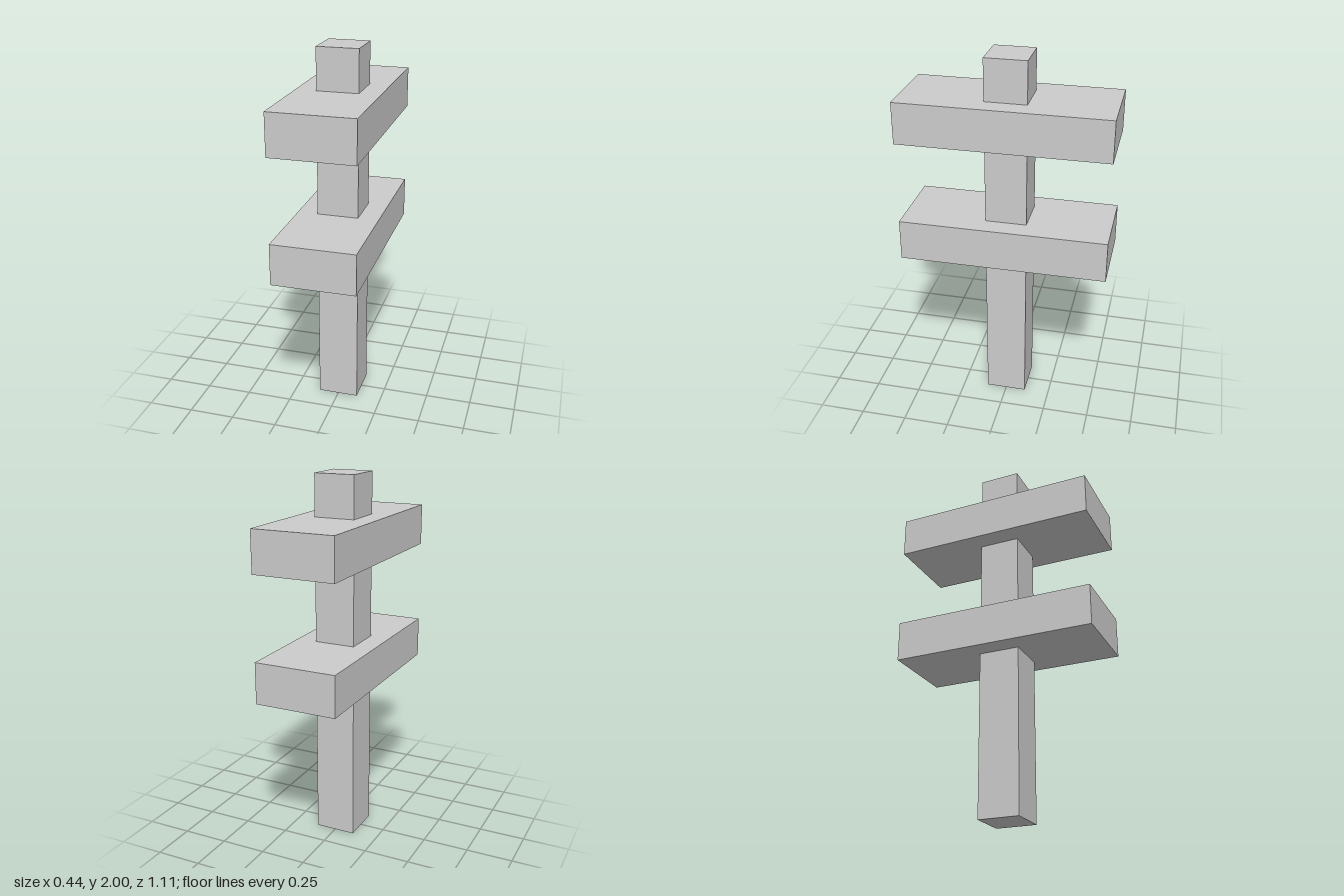
import * as THREE from 'three';

const U = 2 / 9; // grid unit: the post is nine units tall

export function createModel() {
  const model = new THREE.Group();
  model.name = 'postWithCrossbars';
  const material = new THREE.MeshStandardMaterial({ color: 0xcccccc, flatShading: true });

  // Box sized in units, standing on the given height
  function addBox(name, width, height, depth, bottom) {
    const mesh = new THREE.Mesh(new THREE.BoxGeometry(width * U, height * U, depth * U), material);
    mesh.name = name;
    mesh.position.y = (bottom + height / 2) * U;
    model.add(mesh);
  }

  // Square upright post
  addBox('post', 1, 9, 1, 0);

  // Two wide crossbars running front to back
  addBox('lowerCrossbar', 2, 1, 5, 4);
  addBox('upperCrossbar', 2, 1, 5, 7);

  return model;
}
